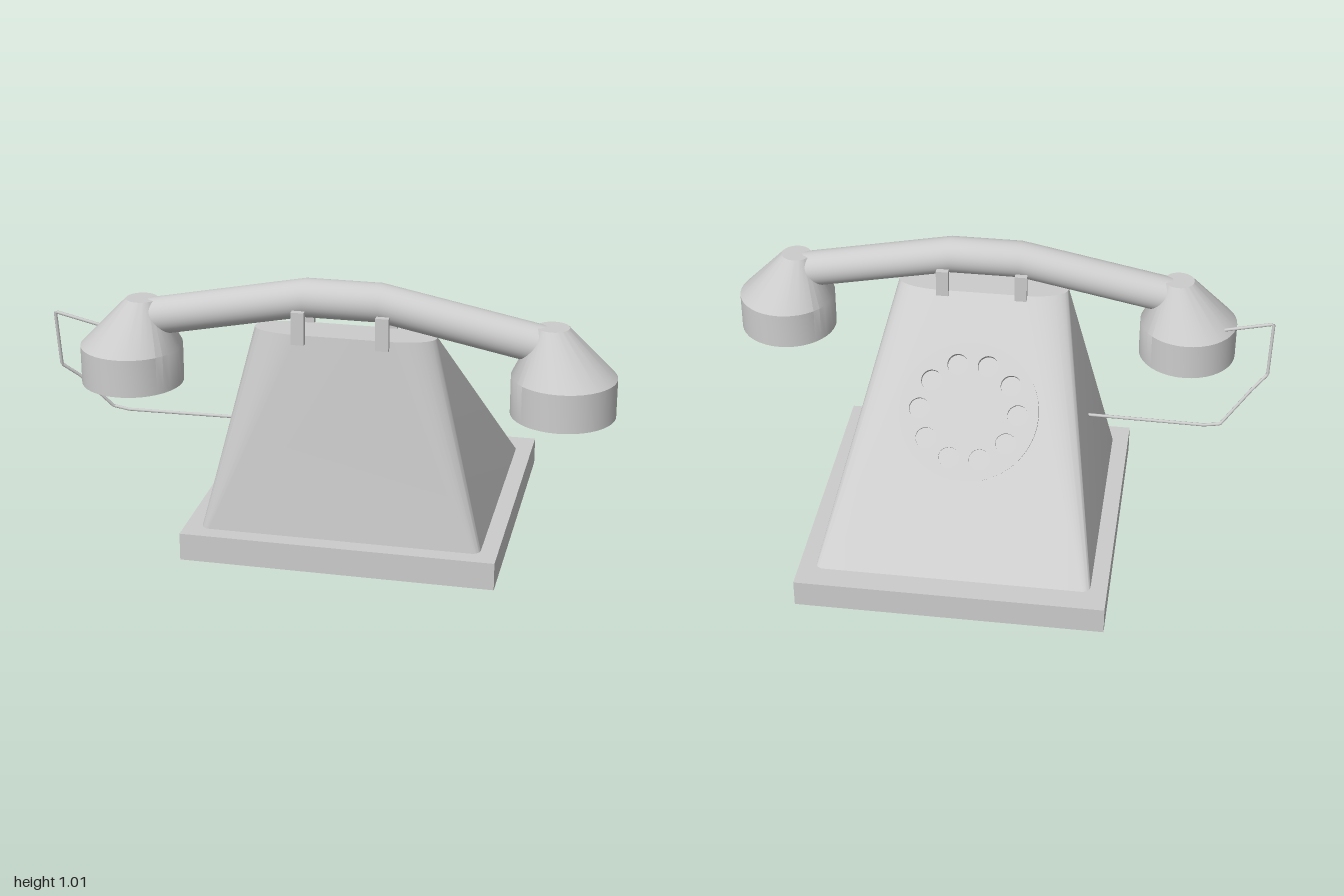
import * as THREE from 'three';
import { toCreasedNormals } from 'three/addons/utils/BufferGeometryUtils.js';

const CX = 0.075; // centre line of the housing
const HX = 0.068; // centre line of the handset
const HZ = 0.377;

// Outline of a rectangle with elliptical corners at height y
function roundedRing(x0, x1, z0, z1, rx, rz, y, seg = 8) {
  const corners = [[x1 - rx, z1 - rz], [x0 + rx, z1 - rz], [x0 + rx, z0 + rz], [x1 - rx, z0 + rz]];
  const ring = [];
  corners.forEach(([cx, cz], k) => {
    for (let i = 0; i <= seg; i++) {
      const a = (k + i / seg) * Math.PI / 2;
      ring.push([cx + rx * Math.cos(a), y, cz + rz * Math.sin(a)]);
    }
  });
  return ring;
}

// Side walls between two rings, closed with a flat top
function loft(bottom, top) {
  const n = bottom.length;
  const centre = [0, 1, 2].map(k => top.reduce((s, p) => s + p[k], 0) / n);
  const index = [];
  for (let i = 0; i < n; i++) {
    const j = (i + 1) % n;
    index.push(i, n + i, j, n + i, n + j, j, 2 * n, n + j, n + i);
  }
  const g = new THREE.BufferGeometry();
  g.setAttribute('position', new THREE.Float32BufferAttribute([...bottom, ...top, centre].flat(), 3));
  g.setIndex(index);
  return toCreasedNormals(g, 0.6);
}

export function createModel() {
  const model = new THREE.Group();
  model.name = 'telephone';
  const grey = new THREE.MeshStandardMaterial({ name: 'grey', color: 0xcccccc });
  const add = (name, geometry, parent = model) => {
    const mesh = new THREE.Mesh(geometry, grey);
    mesh.name = name;
    parent.add(mesh);
    return mesh;
  };

  // Base slab
  add('base', new THREE.BoxGeometry(1.11, 0.1, 1.11)).position.set(CX, 0.05, 0);

  // Sloping housing whose corners grow rounder toward the top
  add('housing', loft(
    roundedRing(-0.42, 0.57, -0.465, 0.495, 0.03, 0.03, 0.1),
    roundedRing(-0.24, 0.39, 0.305, 0.445, 0.16, 0.065, 0.83)));

  // Dial plate with ten finger holes
  const plate = new THREE.Shape().absarc(0, 0, 0.255, 0, Math.PI * 2);
  for (let i = 0; i < 10; i++) {
    const a = i * Math.PI / 5;
    plate.holes.push(new THREE.Path().absarc(0.18 * Math.cos(a), 0.18 * Math.sin(a), 0.038, 0, Math.PI * 2, true));
  }
  const depth = 0.03;
  const normal = new THREE.Vector3(0, 0.69, -0.724).normalize();
  const dial = add('dial', toCreasedNormals(
    new THREE.ExtrudeGeometry(plate, { depth, bevelEnabled: false, curveSegments: 24 }), 0.6));
  dial.position.set(CX, 0.53, -0.03).addScaledVector(normal, -depth);
  dial.lookAt(dial.position.clone().add(normal));

  // Cradle prongs on both sides of the handle
  for (const x of [-0.072, 0.218]) {
    for (const z of [0.3, 0.453]) {
      add('cradleProng', new THREE.BoxGeometry(0.045, 0.115, 0.022)).position.set(x, 0.858, z);
    }
  }

  const handset = new THREE.Group();
  handset.name = 'handset';
  model.add(handset);

  // Handle: a straight rod bent down on both sides of a level middle
  const handle = new THREE.CylinderGeometry(0.067, 0.067, 3, 32, 3).rotateZ(-Math.PI / 2);
  const p = handle.attributes.position;
  for (let i = 0; i < p.count; i++) {
    const outer = Math.abs(p.getX(i)) > 1;
    p.setX(i, Math.sign(p.getX(i)) * (outer ? 0.7 : 0.13));
    if (outer) p.setY(i, p.getY(i) - 0.112);
  }
  add('handle', toCreasedNormals(handle, 0.6), handset).position.set(HX, 0.943, HZ);

  // Hollow cups, their shoulders leaning toward the handle
  const profile = [[0, 0.65], [0.162, 0.65], [0.162, 0.595], [0.178, 0.595], [0.178, 0.73], [0.055, 0.9], [0, 0.9]]
    .map(([r, y]) => new THREE.Vector2(r, y));
  for (const side of [-1, 1]) {
    const cup = new THREE.LatheGeometry(profile, 40);
    const q = cup.attributes.position;
    for (let i = 0; i < q.count; i++) {
      q.setX(i, q.getX(i) - side * 0.043 * Math.max(0, (q.getY(i) - 0.73) / 0.17));
    }
    add(side < 0 ? 'rightCup' : 'leftCup', toCreasedNormals(cup, 0.5), handset)
      .position.set(HX + side * 0.754, 0, HZ);
  }

  // Thin cord from the housing to the right cup
  const path = [
    [-0.33, 0.405, 0.19], [-0.77, 0.4, 0.19], [-0.83, 0.41, 0.19], [-0.935, 0.54, 0.24],
    [-0.988, 0.59, 0.272], [-0.994, 0.795, 0.293], [-0.82, 0.755, 0.293],
  ].map(v => new THREE.Vector3(...v));
  const cord = new THREE.CurvePath();
  for (let i = 1; i < path.length; i++) cord.add(new THREE.LineCurve3(path[i - 1], path[i]));
  add('cord', new THREE.TubeGeometry(cord, 120, 0.006, 8));

  return model;
}
